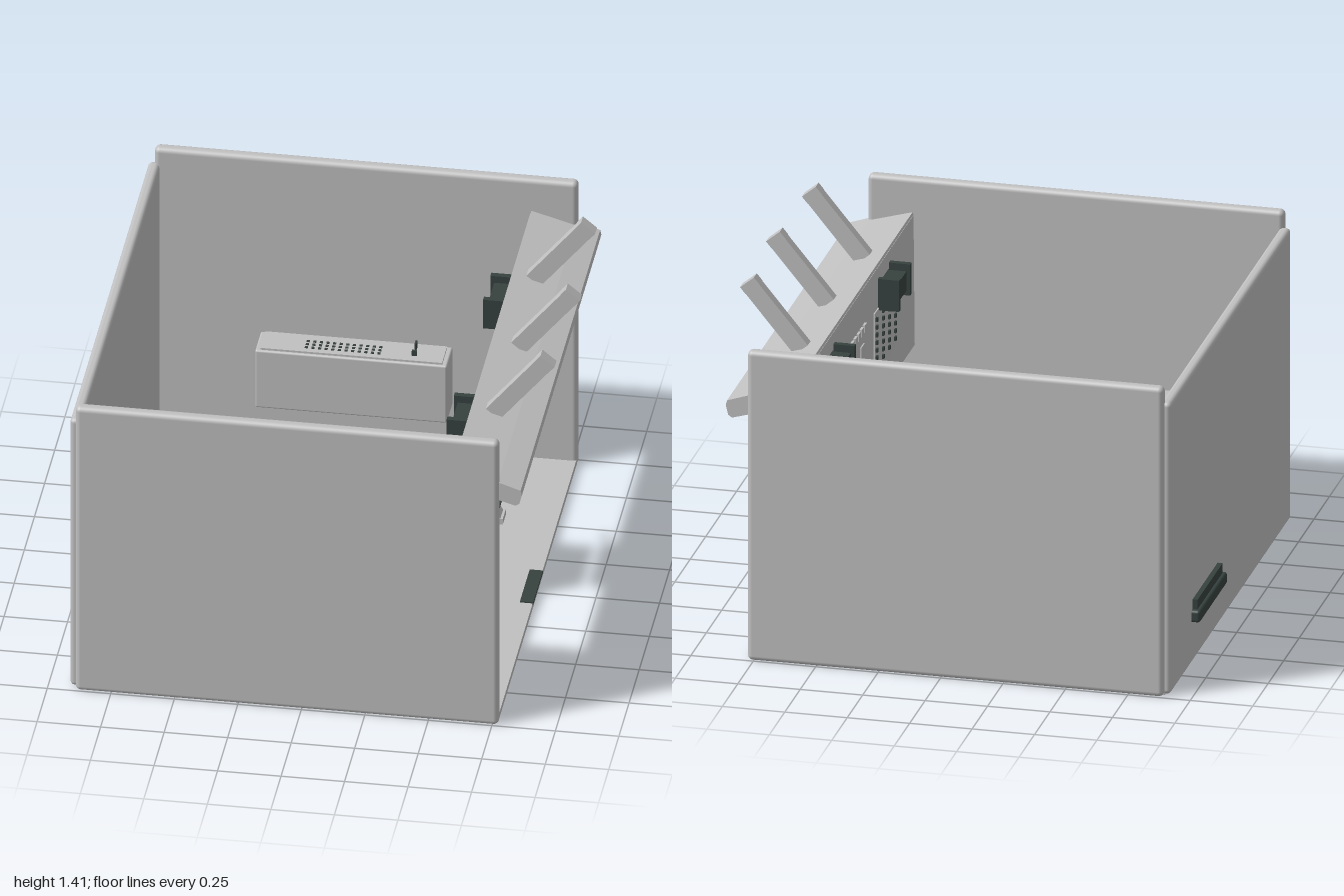
import * as THREE from 'three';
import { RoundedBoxGeometry } from 'three/addons/geometries/RoundedBoxGeometry.js';

export function createModel() {
  const model = new THREE.Group();
  const grey = new THREE.MeshStandardMaterial({ color: 0xc0c0c0 });
  grey.name = 'light grey';
  const dark = new THREE.MeshStandardMaterial({ color: 0x36423f });
  dark.name = 'dark slate';

  function add(name, geometry, material = grey) {
    const mesh = new THREE.Mesh(geometry, material);
    mesh.name = name;
    model.add(mesh);
    return mesh;
  }
  // Box given by its limits on each axis, optionally rounded
  function box(name, [x0, x1], [y0, y1], [z0, z1], material = grey, radius = 0) {
    const size = [x1 - x0, y1 - y0, z1 - z0];
    const geometry = radius ? new RoundedBoxGeometry(...size, 3, radius) : new THREE.BoxGeometry(...size);
    const mesh = add(name, geometry, material);
    mesh.position.set((x0 + x1) / 2, (y0 + y1) / 2, (z0 + z1) / 2);
    return mesh;
  }
  // Profile in x and y, drawn out along z between -half and +half
  function prism(name, points, half, z = 0, material = grey) {
    const shape = new THREE.Shape(points.map(p => new THREE.Vector2(...p)));
    const geometry = new THREE.ExtrudeGeometry(shape, { depth: 2 * half, bevelEnabled: false });
    geometry.translate(0, 0, z - half);
    return add(name, geometry, material);
  }
  // Limits on z, mirrored when s is -1
  const side = (s, a, b) => (s > 0 ? [a, b] : [-b, -a]);

  // Open case
  box('floor', [-0.89, 0.77], [0, 0.025], [-0.97, 0.97]);
  box('endWall', [-0.915, -0.87], [0.005, 1.22], [-0.975, 0.975], grey, 0.018);
  box('floorCatch', [0.72, 0.772], [0.018, 0.03], [-0.12, 0.12], dark);
  for (const s of [1, -1]) box('sideWall', [-0.89, 0.775], [0, 1.29], side(s, 0.95, 1), grey, 0.02);

  // Control panel: hanging body, sloping ledge and turned-down lip
  prism('hangingPanel', [[0.585, 0.6], [0.625, 0.6], [0.74, 1.03], [0.74, 1.09], [0.59, 1.14]], 0.945);
  prism('panelLedge', [[0.59, 1.135], [0.77, 1.08], [0.77, 1.02], [0.84, 1.0], [0.855, 1.01],
    [0.865, 1.05], [0.86, 1.07], [0.77, 1.1], [0.595, 1.15]], 0.98);
  box('panelTray', [0.57, 0.64], [0.54, 0.61], [-0.15, 0.15]);

  // Three slanted handles on the ledge
  for (const [z, shift] of [[0.5, 0], [0, 0.02], [-0.5, 0]]) {
    const handle = add('handle', new THREE.BoxGeometry(0.07, 0.34, 0.045));
    handle.position.set(0.785 + shift, 1.255, z);
    handle.rotation.z = -0.69;
    const tip = add('handleTip', new THREE.BoxGeometry(0.072, 0.035, 0.047));
    tip.position.set(0.882 + shift, 1.373, z);
    tip.rotation.z = -0.69;
  }

  // Connectors, cables and ports on the panel, with the clips below
  for (const s of [1, -1]) {
    const z = s * 0.45;
    box('connectorPlug', [0.69, 0.745], [0.945, 1.0], [z - 0.09, z + 0.09], dark);
    box('connectorBody', [0.515, 0.59], [0.99, 1.07], [z - 0.085, z + 0.085], dark);
    for (const e of [-0.09, 0.09]) box('connectorEar', [0.5, 0.585], [0.97, 1.1], [z + e - 0.012, z + e + 0.012], dark);
    box('portPlate', [0.58, 0.585], [0.72, 0.98], [z - 0.17, z + 0.17]);
    for (const c of [-0.15, -0.05, 0.05, 0.15]) {
      for (let i = 0; i < 7; i++) {
        box('cableBead', [0.572, 0.582], [0.75 + i * 0.032, 0.766 + i * 0.032], [z + c - 0.008, z + c + 0.008], dark);
      }
    }
    for (const c of [0.34, 0.565]) {
      const zc = s * c;
      box('clipBase', [0.49, 0.585], [0.11, 0.135], [zc - 0.037, zc + 0.037]);
      prism('clipBody', [[0.49, 0.135], [0.575, 0.135], [0.545, 0.185], [0.49, 0.195]], 0.034, zc);
      box('clipLever', [0.5, 0.56], [0.17, 0.215], [zc - 0.015, zc + 0.015]);
      box('clipPin', [0.53, 0.572], [0.18, 0.188], [zc - 0.035, zc + 0.035], dark);
    }
  }
  box('panelPort', [0.58, 0.585], [0.78, 0.92], [0.06, 0.12]);
  for (let i = 0; i < 5; i++) box('panelSwitch', [0.575, 0.585], [0.97, 1.0], [-0.1 + i * 0.05, -0.065 + i * 0.05]);

  // Central unit with its tray and buttons
  box('centralUnit', [0.02, 0.56], [0.22, 0.52], [-0.145, 0.14]);
  box('controlPlate', [0.205, 0.345], [0.52, 0.53], [-0.14, 0.13]);
  box('displayPlate', [0.355, 0.5], [0.52, 0.535], [-0.135, 0.125]);
  box('slider', [0.27, 0.285], [0.53, 0.54], [-0.13, -0.035]);
  for (let i = 0; i < 4; i++) {
    box('buttonRow', [0.285, 0.37], [0.53, 0.54], [0.06 + i * 0.018, 0.07 + i * 0.018], dark);
  }
  for (const z of [-0.185, -0.205]) box('smallPin', [0.535, 0.555], [0.57, 0.6], [z - 0.01, z + 0.003]);

  // Side units with vent holes on top
  for (const s of [1, -1]) {
    box('sideUnit', [-0.47, 0.285], [0.24, 0.5], side(s, 0.8, 0.948), grey, 0.008);
    box('sideUnitCover', [-0.45, 0.265], [0.5, 0.508], side(s, 0.81, 0.935));
    for (let i = 0; i < 12; i++) {
      for (let j = 0; j < 3; j++) {
        const x = -0.28 + i * 0.026, z = 0.835 + j * 0.023;
        box('ventHole', [x, x + 0.012], [0.507, 0.511], side(s, z, z + 0.011), dark);
      }
    }
  }
  box('sideDisplay', [0.075, 0.225], [0.505, 0.525], [0.81, 0.92]);
  box('sideSwitch', [0.145, 0.152], [0.505, 0.54], [-0.91, -0.88], dark);
  box('sideButton', [0.14, 0.16], [0.505, 0.53], [-0.855, -0.845], dark);

  // Stepped dark unit passing through the end wall
  box('steppedBase', [-0.95, -0.28], [0.18, 0.23], [-0.64, -0.195], dark, 0.012);
  box('steppedMiddle', [-0.935, -0.295], [0.23, 0.27], [-0.62, -0.215], dark);
  box('steppedTop', [-0.9, -0.745], [0.27, 0.32], [-0.57, -0.27], dark);

  return model;
}
